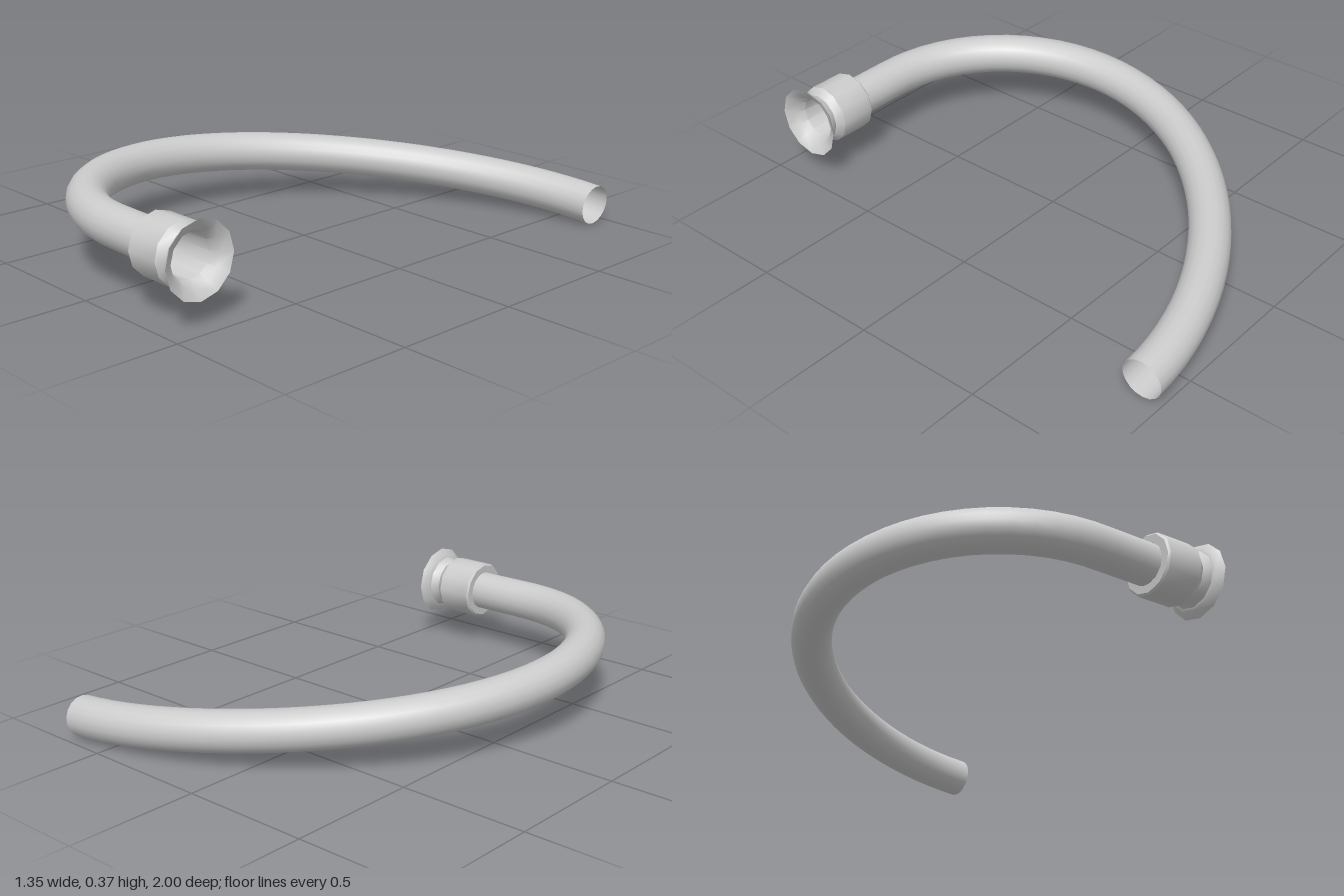
import * as THREE from 'three';
import { toCreasedNormals } from 'three/addons/utils/BufferGeometryUtils.js';

const V = (x, y, z) => new THREE.Vector3(x, y, z);

export function createModel() {
  const group = new THREE.Group();
  const material = new THREE.MeshStandardMaterial({ color: 0xcccccc, side: THREE.DoubleSide });

  // Curved open hose: short straight run, tight bend, then a long falling sweep
  const path = new THREE.CurvePath();
  path.add(new THREE.LineCurve3(V(0.24, 0.23, 0.857), V(0, 0.232, 0.857)));
  path.add(new THREE.CubicBezierCurve3(
    V(0, 0.232, 0.857), V(-0.35, 0.235, 0.857), V(-0.598, 0.245, 0.56), V(-0.598, 0.225, 0.2)));
  path.add(new THREE.CubicBezierCurve3(
    V(-0.598, 0.225, 0.2), V(-0.598, 0.192, -0.39), V(0.08, 0.125, -0.922), V(0.666, 0.079, -0.923)));
  const hose = new THREE.Mesh(new THREE.TubeGeometry(path, 44, 0.077, 18, false), material);
  hose.name = 'hose';
  group.add(hose);

  // Hollow end fitting turned about the x axis: [radius, x]
  const profile = [
    [0.077, 0.213], [0.108, 0.213], [0.115, 0.22], [0.115, 0.36], [0.092, 0.388],
    [0.106, 0.42], [0.116, 0.423], [0.14, 0.447],
    [0.1, 0.423], [0.082, 0.39], [0.08, 0.213],
  ].map(([r, x]) => new THREE.Vector2(r, x));
  const fitting = new THREE.Mesh(
    toCreasedNormals(new THREE.LatheGeometry(profile, 12), 0.65), material);
  fitting.name = 'flaredFitting';
  fitting.rotation.z = -Math.PI / 2;
  fitting.position.set(0, 0.23, 0.86);
  group.add(fitting);

  return group;
}
